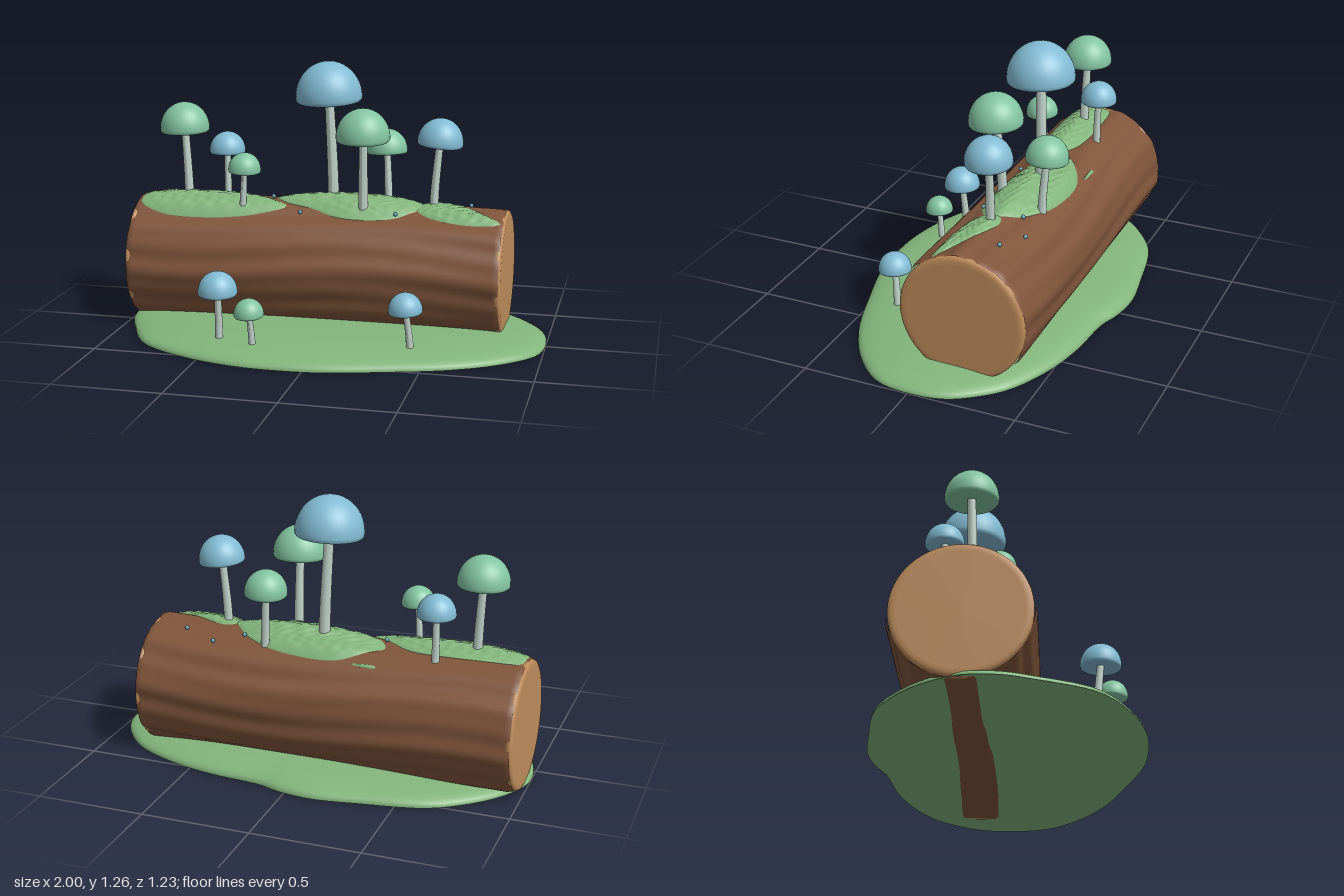
import * as THREE from 'three';
import { ParametricGeometry } from 'three/addons/geometries/ParametricGeometry.js';

const mat = (name, color) => {
  const m = new THREE.MeshStandardMaterial({ color });
  m.name = name;
  return m;
};

// Log axis position and radius
const CY = 0.292, CZ = -0.16, R0 = 0.3;

// Bark radius with wavy ridges running along the log
function barkRadius(x, a) {
  const ridges = 0.005 * Math.sin(9 * a + 1.3 * Math.sin(2.6 * x + 0.5))
    + 0.003 * Math.sin(17 * a + 1.8 * Math.sin(3.4 * x + 1) + 1);
  const end = Math.max(0, (Math.abs(x + 0.0925) - 0.86) / 0.0225);
  return R0 + ridges * (1 - 0.4 * Math.min(1, end)) - 0.005 * end * end;
}

// Height of the log surface above a point in plan
function logTop(x, z) {
  const d = z - CZ;
  const r = barkRadius(x, Math.asin(THREE.MathUtils.clamp(d / R0, -1, 1)));
  return CY + Math.sqrt(Math.max(0, r * r - d * d));
}

// Sheet filling a closed plan outline; u runs round it, v from centre to edge
function sheet(points, height, slices, stacks, flip = false) {
  const curve = new THREE.CatmullRomCurve3(points.map(([x, z]) => new THREE.Vector3(x, 0, z)), true);
  const c = new THREE.Vector3();
  points.forEach(([x, z]) => c.add(new THREE.Vector3(x / points.length, 0, z / points.length)));
  return new ParametricGeometry((u, v, out) => {
    const s = Math.max(0.001, Math.sin((flip ? 1 - v : v) * Math.PI / 2));
    const p = curve.getPoint(u % 1);
    const x = c.x + (p.x - c.x) * s, z = c.z + (p.z - c.z) * s;
    out.set(x, height(x, z, s), z);
  }, slices, stacks);
}

const GROUND = [
  [1, 0], [0.97, 0.16], [0.83, 0.315], [0.62, 0.44], [0.35, 0.53], [0.09, 0.6], [-0.13, 0.615],
  [-0.32, 0.6], [-0.56, 0.53], [-0.8, 0.385], [-0.94, 0.13], [-0.99, 0], [-0.995, -0.15],
  [-0.9, -0.33], [-0.73, -0.48], [-0.61, -0.54], [-0.35, -0.59], [-0.13, -0.62], [0.03, -0.6],
  [0.14, -0.565], [0.38, -0.54], [0.59, -0.49], [0.8, -0.39], [0.91, -0.28], [0.98, -0.16],
];

// Moss patches: plan outline and thickness
const MOSS = [
  { h: 0.04, pts: [[-0.23, -0.06], [-0.36, -0.01], [-0.6, 0.02], [-0.85, 0.01], [-0.95, -0.03],
    [-0.965, -0.12], [-0.95, -0.19], [-0.8, -0.215], [-0.5, -0.21], [-0.33, -0.14]] },
  { h: 0.046, pts: [[0.42, -0.13], [0.3, -0.03], [0.1, 0], [-0.1, -0.05], [-0.25, -0.1], [-0.34, -0.2],
    [-0.25, -0.28], [-0.15, -0.325], [0.05, -0.33], [0.22, -0.3], [0.35, -0.22]] },
  { h: 0.028, pts: [[0.78, -0.02], [0.68, 0], [0.5, -0.02], [0.4, -0.06], [0.36, -0.12],
    [0.42, -0.19], [0.55, -0.17], [0.68, -0.1]] },
  { h: 0.012, pts: [[-0.2, -0.33], [-0.25, -0.324], [-0.34, -0.327], [-0.34, -0.335], [-0.25, -0.338]] },
];

// Mushrooms: cap centre, cap bottom and radius, stem base, tilt, colour
const MUSHROOMS = [
  { cap: [-0.757, 0.905, -0.135], r: 0.118, base: [-0.74, -0.13], tilt: [0.03, 0.02], color: 'mint' },
  { cap: [-0.585, 0.785, -0.26], r: 0.087, base: [-0.583, -0.255], tilt: [0, 0], color: 'blue' },
  { cap: [-0.433, 0.742, -0.028], r: 0.077, base: [-0.445, -0.04], tilt: [0.05, -0.05], color: 'mint' },
  { cap: [-0.058, 1.07, -0.172], r: 0.157, base: [-0.04, -0.185], tilt: [0.06, 0.03], color: 'blue' },
  { cap: [0.134, 0.912, -0.035], r: 0.126, base: [0.13, -0.065], tilt: [0.06, 0], color: 'mint' },
  { cap: [0.195, 0.808, -0.306], r: 0.098, base: [0.207, -0.29], tilt: [-0.05, 0.05], color: 'mint' },
  { cap: [0.473, 0.884, -0.15], r: 0.107, base: [0.45, -0.147], tilt: [0, -0.1], color: 'blue' },
  { cap: [-0.437, 0.265, 0.405], r: 0.09, base: [-0.44, 0.385], tilt: [0.05, 0], color: 'blue', ground: true },
  { cap: [-0.277, 0.19, 0.457], r: 0.068, base: [-0.268, 0.442], tilt: [0.08, 0.03], color: 'mint', ground: true },
  { cap: [0.412, 0.222, 0.352], r: 0.077, base: [0.43, 0.335], tilt: [0.07, 0.06], color: 'blue', ground: true },
];

// Domed cap with a rounded rim and shallow hollow underside, unit radius
function capGeometry() {
  const pts = [[0, 0.1], [0.5, 0.06], [0.88, 0], [0.95, 0.01], [0.99, 0.06]];
  for (let i = 0; i <= 12; i++) {
    const a = i / 12 * Math.PI / 2;
    pts.push([Math.cos(a), 0.14 + 1.06 * Math.sin(a)]);
  }
  return new THREE.LatheGeometry(pts.map(([x, y]) => new THREE.Vector2(Math.max(x, 0), y)), 32);
}

// Tapered stem that bends from its base to its top
function stemGeometry(base, top, r) {
  const geo = new THREE.CylinderGeometry(r * 0.8, r, 1, 12, 8);
  const pos = geo.attributes.position;
  for (let i = 0; i < pos.count; i++) {
    const t = pos.getY(i) + 0.5, k = t * t * (3 - 2 * t) * 0.5 + t * t * 0.5;
    pos.setXYZ(i,
      pos.getX(i) + base.x + (top.x - base.x) * k,
      base.y + (top.y - base.y) * t,
      pos.getZ(i) + base.z + (top.z - base.z) * k);
  }
  geo.computeVertexNormals();
  return geo;
}

export function createModel() {
  const model = new THREE.Group();
  model.name = 'mushroomLog';
  const mats = {
    green: mat('mossGreen', 0x83b57c),
    bark: mat('barkBrown', 0x80553b),
    wood: mat('cutWood', 0xbf8d5c),
    blue: mat('capBlue', 0x82bbd3),
    mint: mat('capMint', 0x83c4a1),
    stem: mat('stemPale', 0xbfd2c8),
    spore: mat('sporeTeal', 0x62a5b5),
  };
  const add = (name, geo, material, parent = model) => {
    const m = new THREE.Mesh(geo, material);
    m.name = name;
    parent.add(m);
    return m;
  };

  // Low mound of ground with a flat underside
  add('groundTop', sheet(GROUND, (x, z, s) => 0.071 * Math.pow(Math.max(0, 1 - s ** 4), 0.42), 96, 24), mats.green);
  add('groundUnderside', sheet(GROUND, () => 0.002, 96, 4, true), mats.green);

  // Bark tube
  add('bark', new ParametricGeometry((u, v, out) => {
    const a = u * Math.PI * 2, x = -0.975 + 1.765 * v, r = barkRadius(x, a);
    out.set(x, Math.max(0, CY + r * Math.cos(a)), CZ + r * Math.sin(a));
  }, 128, 64), mats.bark);

  // Cut ends with softened edges
  const endProfile = [[0.28, -0.03], [0.294, -0.012], [0.294, 0], [0.289, 0.007], [0.278, 0.011], [0.26, 0.012], [0, 0.012]]
    .map(([x, y]) => new THREE.Vector2(x, y));
  for (const [name, x, side] of [['leftCutEnd', 0.788, 1], ['rightCutEnd', -0.973, -1]]) {
    const end = add(name, new THREE.LatheGeometry(endProfile, 64), mats.wood);
    end.rotation.z = -side * Math.PI / 2;
    end.position.set(x, CY, CZ);
  }

  // Lumpy moss on top of the log
  MOSS.forEach(({ h, pts }, i) => {
    const height = (x, z, s) => {
      const bumps = Math.sin(85 * x + 2 * Math.sin(60 * z)) * Math.sin(105 * z + 25 * x);
      return logTop(x, z) - 0.006 + h * Math.pow(Math.max(0, 1 - s * s), 0.6) + 0.004 * bumps * (1 - s ** 4) * (h > 0.02 ? 1 : 0);
    };
    add('mossPatch' + (i + 1), sheet(pts, height, 80, 28), mats.green);
  });

  // Mushrooms
  const capGeo = capGeometry();
  MUSHROOMS.forEach(({ cap, r, base, tilt, color, ground }, i) => {
    const g = new THREE.Group();
    g.name = 'mushroom' + (i + 1);
    const foot = new THREE.Vector3(base[0], ground ? 0.04 : logTop(base[0], base[1]) - 0.01, base[1]);
    const top = new THREE.Vector3(cap[0], cap[1] + r * 0.2, cap[2]);
    add('stem', stemGeometry(foot, top, 0.008 + 0.125 * r), mats.stem, g);
    const c = add('cap', capGeo, mats[color], g);
    c.scale.setScalar(r);
    c.position.set(...cap);
    c.rotation.set(tilt[0], 0, tilt[1]);
    model.add(g);
  });

  // Tiny round buds scattered on the log
  const budGeo = new THREE.SphereGeometry(0.01, 12, 8);
  [[-0.325, -0.15, 0.012], [0.326, -0.25, 0.01], [0.455, -0.315, 0.01], [0.61, -0.26, 0.01],
    [0.287, -0.04, 0.012], [-0.165, -0.03, 0.005]].forEach(([x, z, lift]) => {
    add('bud', budGeo, mats.spore).position.set(x, logTop(x, z) + lift, z);
  });

  return model;
}
